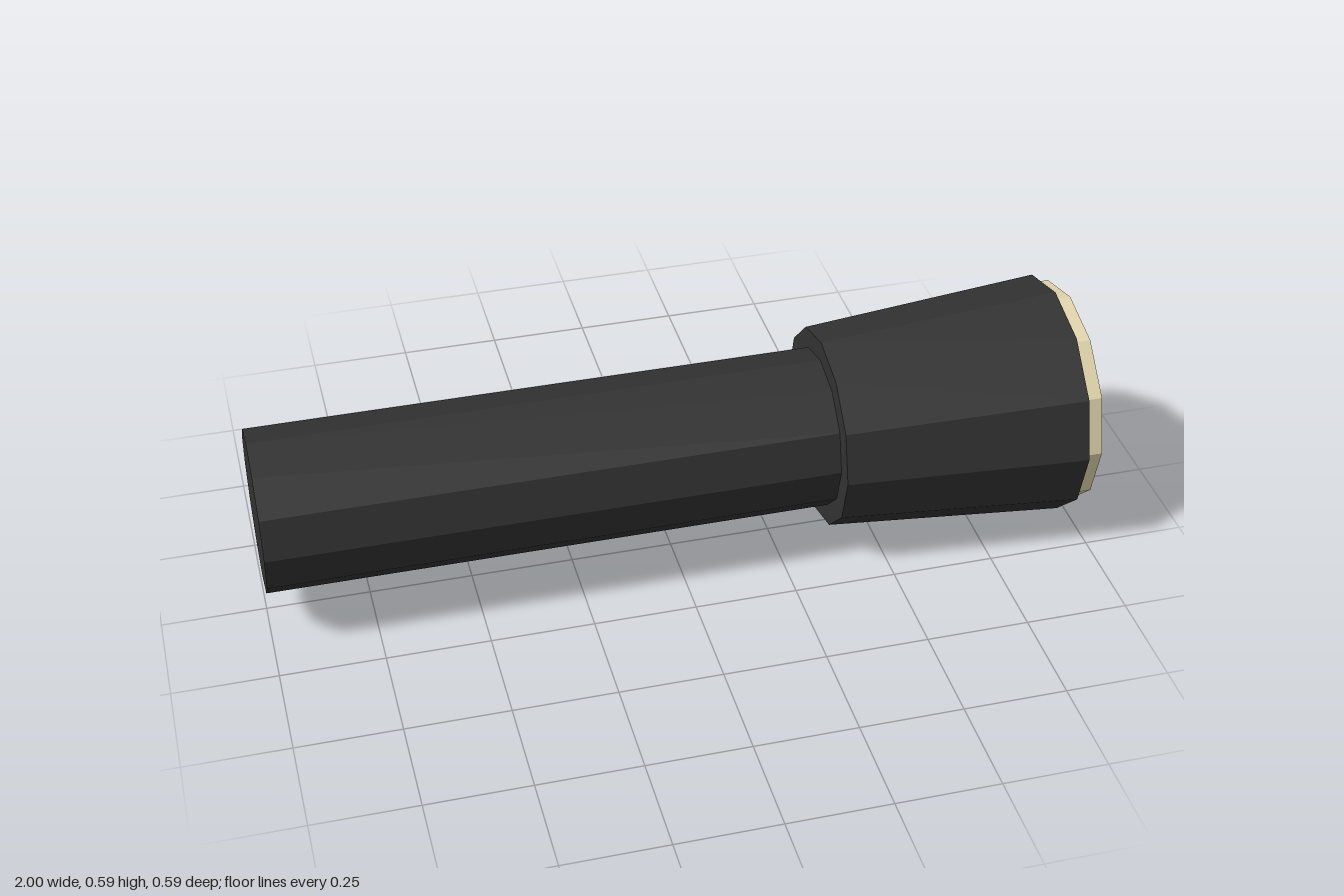
import * as THREE from 'three';

const AXIS_Y = 0.295;
const SIDES = 12;

export function createModel() {
  const group = new THREE.Group();
  group.name = 'flashlight';

  const casing = new THREE.MeshStandardMaterial({ color: 0x323232, flatShading: true });
  casing.name = 'black casing';
  const glass = new THREE.MeshStandardMaterial({ color: 0xe3d7ae, flatShading: true });
  glass.name = 'cream lens';

  // Twelve-sided section lying along x, from x0 (radius r0) to x1 (radius r1)
  function section(name, x0, x1, r0, r1, material) {
    const geometry = new THREE.CylinderGeometry(r1, r0, x1 - x0, SIDES);
    geometry.rotateZ(-Math.PI / 2);
    const mesh = new THREE.Mesh(geometry, material);
    mesh.name = name;
    mesh.position.set((x0 + x1) / 2, AXIS_Y, 0);
    group.add(mesh);
  }

  section('handle', -1, 0.38, 0.195, 0.195, casing);
  section('head', 0.37, 0.96, 0.245, 0.294, casing);
  section('lens', 0.95, 1, 0.275, 0.275, glass);

  return group;
}
